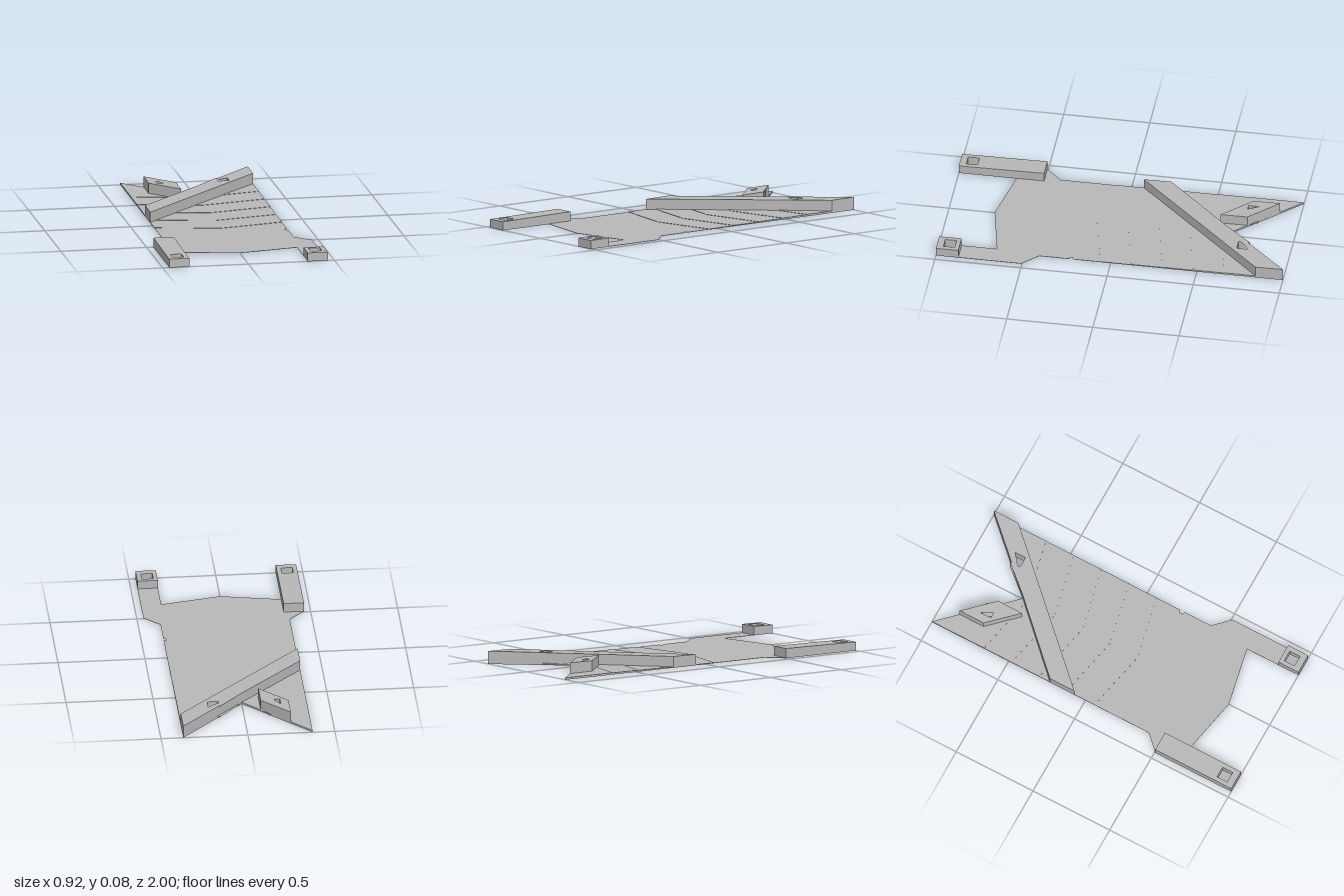
import * as THREE from 'three';

const W = 0.372; // half width of the main plate

// Square hole around a centre, in plan coordinates (x, z)
const square = (x, z, r = 0.033) => [[x - r, z - r], [x + r, z - r], [x + r, z + r], [x - r, z + r]];
const vectors = (points) => points.map(([x, z]) => new THREE.Vector2(x, -z));

// Extrudes a plan outline upwards from y0 to y1
function slab(outline, holes, y0, y1) {
  const shape = new THREE.Shape(vectors(outline));
  holes.forEach((h) => shape.holes.push(new THREE.Path(vectors(h))));
  const geometry = new THREE.ExtrudeGeometry(shape, { depth: y1 - y0, bevelEnabled: false });
  geometry.rotateX(-Math.PI / 2).translate(0, y0, 0);
  return geometry;
}

// Block whose top rises gently towards the back
function slopedBlock(outline, holes) {
  const geometry = slab(outline, holes, 0.0005, 0.05);
  const pos = geometry.attributes.position;
  for (let i = 0; i < pos.count; i++) {
    if (pos.getY(i) > 0.04) pos.setY(i, 0.05 + 0.0125 * (1 - pos.getZ(i)));
  }
  geometry.computeVertexNormals();
  return geometry;
}

export function createModel() {
  const model = new THREE.Group();
  const grey = new THREE.MeshStandardMaterial({ color: 0xb8b8b8 });
  grey.name = 'plainGrey';
  const add = (name, geometry) => {
    const mesh = new THREE.Mesh(geometry, grey);
    mesh.name = name;
    model.add(mesh);
  };

  const rearHoles = [square(-0.177, -0.737), square(0.174, -0.737)];
  const frontHoles = [square(-0.404, 0.928), square(0.402, 0.928)];

  // Base plate with a swallowtail back, two front legs and a small edge nick
  add('basePlate', slab([
    [0, -0.61], [W, -1], [W, 0.215], [0.356, 0.222], [0.356, 0.238], [W, 0.245],
    [W, 0.415], [0.462, 0.505], [0.462, 1], [0.345, 1], [0.345, 0.665], [0, 0.735],
    [-0.345, 0.665], [-0.345, 1], [-0.462, 1], [-0.462, 0.505], [-W, 0.415], [-W, -1],
  ], [...rearHoles, ...frontHoles], 0, 0.002));

  // Thin stacked layers with chevron front edges, building up towards the back
  const step = 0.0018;
  for (let i = 0; i < 5; i++) {
    const z = 0.06 - 0.18 * i;
    const y = 0.002 + step * i;
    add('layer' + (i + 1), slab(
      [[0, -0.61], [W, -1], [W, z], [0, z + 0.08], [-W, z], [-W, -1]], rearHoles, y, y + step));
  }

  // Raised blocks
  add('diagonalBar', slopedBlock(
    [[-W, -0.23], [-W, -0.07], [W, -0.84], [W, -1], [0, -0.61]], [rearHoles[1]]));
  add('rearBlock', slopedBlock(
    [[-0.258, -0.88], [-0.258, -0.725], [-0.1, -0.56], [-0.1, -0.715]], [rearHoles[0]]));
  add('longLegBlock', slopedBlock(
    [[-0.462, 0.505], [-0.462, 1], [-0.345, 1], [-0.345, 0.505]], [frontHoles[0]]));
  add('shortLegBlock', slopedBlock(
    [[0.345, 0.87], [0.345, 1], [0.462, 1], [0.462, 0.87]], [frontHoles[1]]));

  return model;
}
